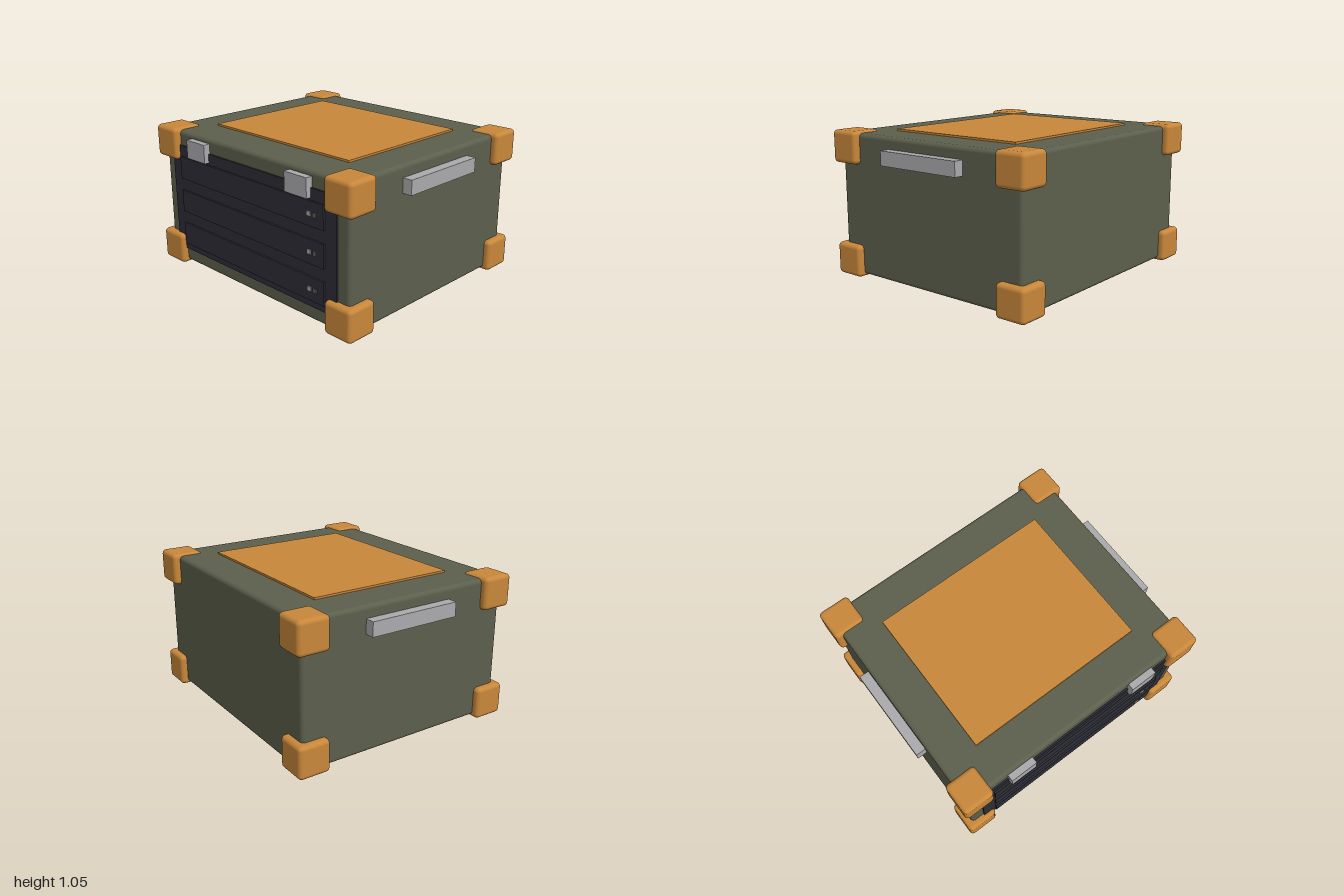
import * as THREE from 'three';
import { RoundedBoxGeometry } from 'three/addons/geometries/RoundedBoxGeometry.js';

const material = (name, color) => {
  const m = new THREE.MeshStandardMaterial({ color });
  m.name = name;
  return m;
};

export function createModel() {
  const model = new THREE.Group();
  model.name = 'equipmentCase';

  const olive = material('olive shell', 0x5c5f4c);
  const orange = material('orange', 0xc8873a);
  const dark = material('dark panel', 0x2c2c35);
  const grey = material('light metal', 0xaaaaad);
  const lamp = material('dim lamp', 0x5f6058);

  // Box given by its min and max on each axis, rounded when a radius is given
  function box(name, mat, [x0, x1], [y0, y1], [z0, z1], radius = 0) {
    const size = [x1 - x0, y1 - y0, z1 - z0];
    const geometry = radius
      ? new RoundedBoxGeometry(...size, 3, radius)
      : new THREE.BoxGeometry(...size);
    const mesh = new THREE.Mesh(geometry, mat);
    mesh.name = name;
    mesh.position.set((x0 + x1) / 2, (y0 + y1) / 2, (z0 + z1) / 2);
    model.add(mesh);
  }

  // Shell and lid plate
  box('shell', olive, [-0.93, 0.93], [0.02, 1.036], [-0.812, 0.812], 0.03);
  box('lidPlate', orange, [-0.66, 0.66], [1.02, 1.05], [-0.54, 0.54]);

  // Corner bumpers
  for (const x of [-0.863, 0.863])
    for (const y of [0.118, 0.935])
      for (const z of [-0.745, 0.745])
        box('cornerBumper', orange, [x - 0.116, x + 0.116],
          [y - 0.116, y + 0.116], [z - 0.116, z + 0.116], 0.03);

  // Front panel with three rack units and their indicator lamps
  box('frontPanel', dark, [-0.83, 0.83], [0.125, 0.93], [0.79, 0.825]);
  for (const y of [0.257, 0.512, 0.767]) {
    box('rackUnit', dark, [-0.73, 0.73], [y - 0.083, y + 0.083], [0.82, 0.838]);
    box('brightIndicator', grey, [0.59, 0.622], [y - 0.015, y + 0.015], [0.837, 0.846]);
    box('dimIndicator', lamp, [0.641, 0.671], [y - 0.015, y + 0.015], [0.837, 0.846]);
  }

  // Latches and side handles
  for (const s of [-1, 1]) {
    const x = s * 0.508;
    box('latch', grey, [x - 0.1, x + 0.1], [0.866, 1.0], [0.8, 0.86]);
    const h = s * 0.96;
    box('sideHandle', grey, [h - 0.04, h + 0.04], [0.85, 0.952], [-0.338, 0.338]);
  }

  return model;
}
